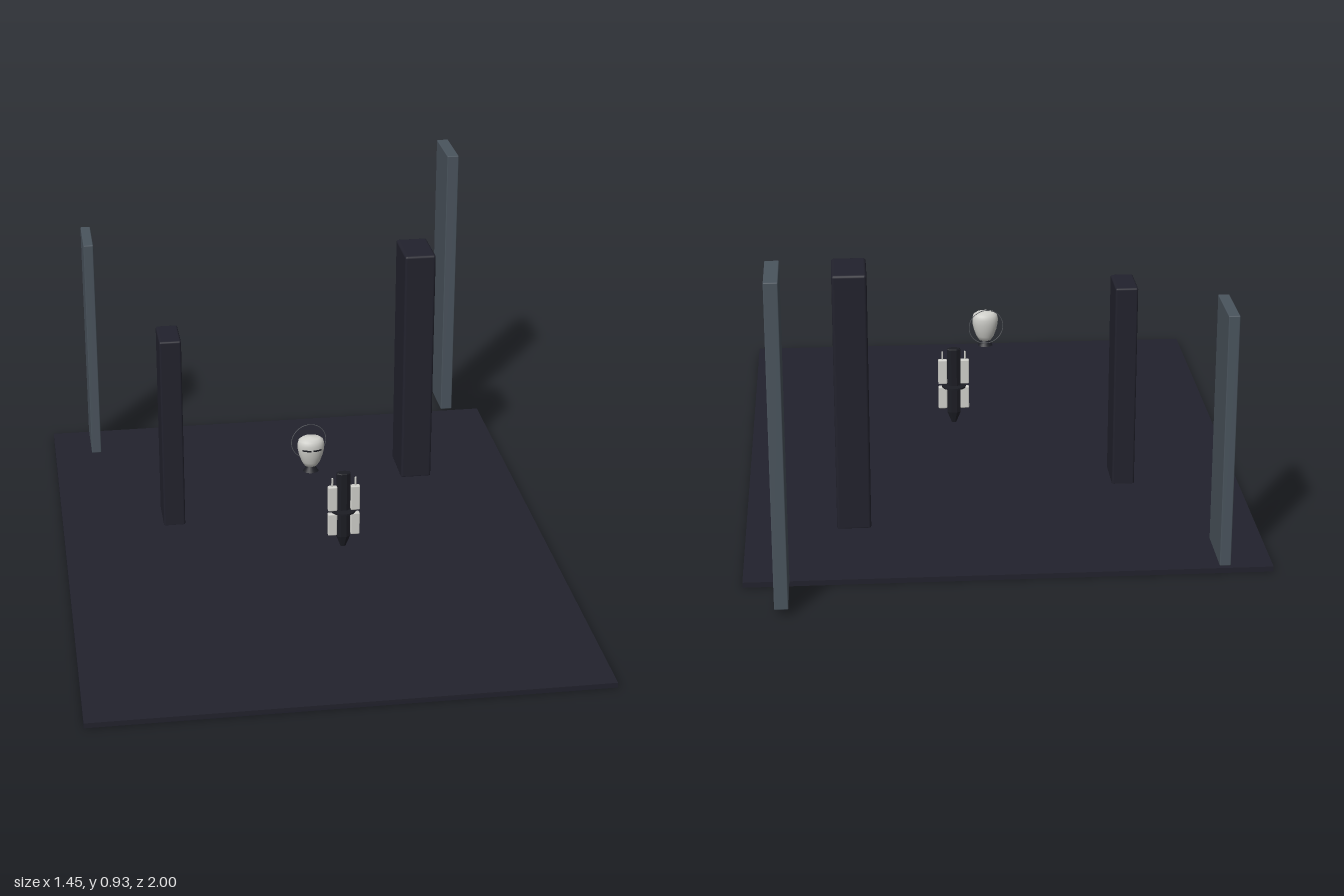
import * as THREE from 'three';
import { RoundedBoxGeometry } from 'three/addons/geometries/RoundedBoxGeometry.js';

const mat = (name, color, side = THREE.FrontSide) => {
  const m = new THREE.MeshStandardMaterial({ color, side });
  m.name = name;
  return m;
};

export function createModel() {
  const root = new THREE.Group();
  const stone = mat('dark stone', 0x22222d);
  const slate = mat('slate panel', 0x4a545d);
  const shell = mat('pale shell', 0xd0d0cb);
  const core = mat('dark core', 0x1c1d24, THREE.DoubleSide);
  const metal = mat('grey metal', 0x5a5d62);

  const add = (parent, name, geometry, material, x = 0, y = 0, z = 0) => {
    const m = new THREE.Mesh(geometry, material);
    m.name = name;
    m.position.set(x, y, z);
    parent.add(m);
    return m;
  };
  // Box given by its limits on each axis, with a small rounded edge
  const block = (parent, name, material, [x0, x1], [y0, y1], [z0, z1], r) =>
    add(parent, name, r ? new RoundedBoxGeometry(x1 - x0, y1 - y0, z1 - z0, 2, r)
      : new THREE.BoxGeometry(x1 - x0, y1 - y0, z1 - z0),
    material, (x0 + x1) / 2, (y0 + y1) / 2, (z0 + z1) / 2);

  // Floor, pillars and hovering side panels
  block(root, 'floor', stone, [-0.725, 0.725], [0, 0.015], [-0.82, 1]);
  block(root, 'leftPillar', stone, [0.37, 0.467], [0.01, 0.772], [-0.492, -0.33], 0.008);
  block(root, 'rightPillar', stone, [-0.416, -0.35], [0.01, 0.628], [-0.232, -0.1], 0.006);
  block(root, 'leftPanel', slate, [0.598, 0.636], [0.02, 0.928], [-1, -0.82], 0.003);
  block(root, 'rightPanel', slate, [-0.607, -0.576], [0.02, 0.746], [-0.818, -0.64], 0.003);

  // Floating head: tapered egg, slit eyes, flared neck and a thin halo
  const head = new THREE.Group();
  head.name = 'head';
  head.position.z = 0.182;
  root.add(head);
  const profile = [[0, 0.328], [0.018, 0.33], [0.027, 0.344], [0.035, 0.366], [0.039, 0.385],
    [0.0395, 0.4], [0.036, 0.413], [0.026, 0.42], [0, 0.423]].map(p => new THREE.Vector2(...p));
  add(head, 'skull', new THREE.LatheGeometry(profile, 32), shell).scale.z = 0.78;
  for (const s of [-1, 1]) {
    const slit = [new THREE.Vector2(0.0402, 0.386), new THREE.Vector2(0.0405, 0.391)];
    const start = s > 0 ? 0.08 : -0.76;
    add(head, 'eye', new THREE.LatheGeometry(slit, 8, start, 0.68), core).scale.z = 0.78;
  }
  add(head, 'neck', new THREE.CylinderGeometry(0.009, 0.023, 0.02, 20), core, 0, 0.322, 0).scale.z = 0.85;
  const halo = add(root, 'halo', new THREE.TorusGeometry(0.053, 0.0012, 6, 64), metal, 0, 0.387, 0.138);
  halo.rotation.y = 0.16;

  // Floating torso: pointed core, belt disc and four shell plates
  const body = new THREE.Group();
  body.name = 'body';
  body.position.set(0.097, 0, 0.187);
  root.add(body);
  const spine = [[0, 0.055], [0.008, 0.058], [0.022, 0.092], [0.022, 0.298], [0.02, 0.301], [0, 0.301]]
    .map(p => new THREE.Vector2(...p));
  const spineMesh = add(body, 'spine', new THREE.LatheGeometry(spine, 8, Math.PI / 8).toNonIndexed(), core);
  spineMesh.geometry.computeVertexNormals();
  spineMesh.scale.z = 0.6;
  add(body, 'belt', new THREE.CylinderGeometry(0.037, 0.037, 0.005, 32), core, 0, 0.178, 0);
  for (const s of [-1, 1]) {
    const side = new THREE.Group();
    side.name = s > 0 ? 'leftPlates' : 'rightPlates';
    body.add(side);
    for (const [y, h] of [[0.222, 0.08], [0.137, 0.072]]) {
      add(side, 'plate', new RoundedBoxGeometry(0.028, h, 0.017, 2, 0.004), shell, s * 0.034, y, 0.009);
    }
    add(side, 'post', new THREE.CylinderGeometry(0.003, 0.003, 0.03, 10), shell, s * 0.035, 0.273, 0.009);
  }
  return root;
}
